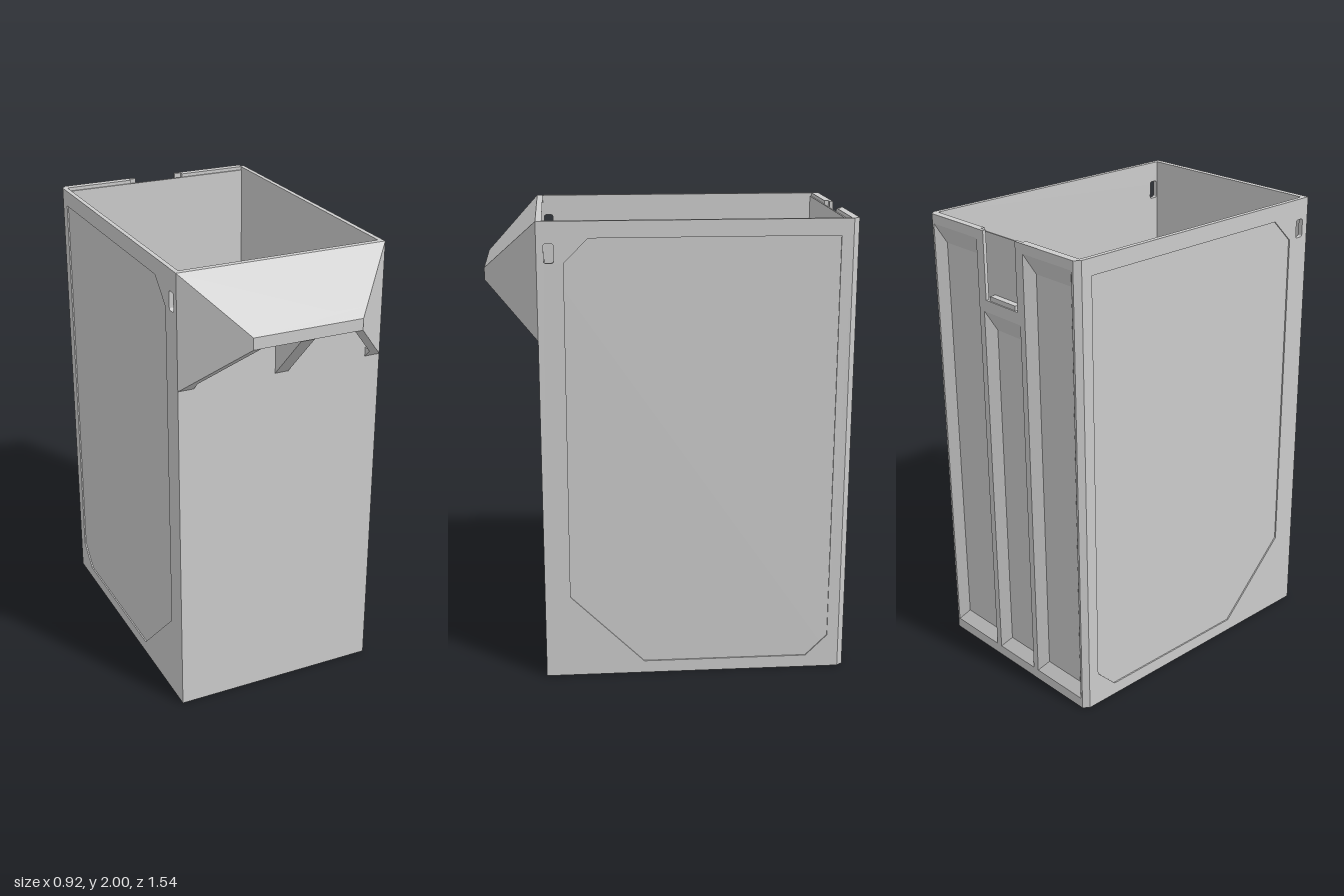
import * as THREE from 'three';

const material = new THREE.MeshStandardMaterial({ color: 0xcccccc, flatShading: true, side: THREE.DoubleSide });

function shapeOf(points) {
  return new THREE.Shape(points.map(([a, b]) => new THREE.Vector2(a, b)));
}

function extrude(shape, depth) {
  return new THREE.ExtrudeGeometry(shape, { depth, bevelEnabled: false, curveSegments: 6 });
}

// Flat-sided skin through closed rings of equal point count, with optional fan caps
function loft(rings, capped = false) {
  const pos = [];
  const n = rings[0].length;
  const tri = (a, b, c) => pos.push(...a, ...b, ...c);
  for (let r = 0; r + 1 < rings.length; r++) {
    for (let i = 0; i < n; i++) {
      const j = (i + 1) % n;
      const [a, b, c, d] = [rings[r][i], rings[r][j], rings[r + 1][j], rings[r + 1][i]];
      tri(a, b, c);
      tri(a, c, d);
    }
  }
  if (capped) {
    const last = rings[rings.length - 1];
    for (let i = 1; i + 1 < n; i++) {
      tri(rings[0][0], rings[0][i + 1], rings[0][i]);
      tri(last[0], last[i], last[i + 1]);
    }
  }
  const g = new THREE.BufferGeometry();
  g.setAttribute('position', new THREE.Float32BufferAttribute(pos, 3));
  g.computeVertexNormals();
  return g;
}

// Counter-clockwise rectangle at depth z
const rect = (x0, x1, y0, y1, z) => [[x0, y0, z], [x1, y0, z], [x1, y1, z], [x0, y1, z]];

export function createModel() {
  const group = new THREE.Group();
  const add = (name, geometry) => {
    const mesh = new THREE.Mesh(geometry, material);
    mesh.name = name;
    group.add(mesh);
    return mesh;
  };
  const box = (name, x0, x1, y0, y1, z0, z1) => add(name,
    new THREE.BoxGeometry(x1 - x0, y1 - y0, z1 - z0)
      .translate((x0 + x1) / 2, (y0 + y1) / 2, (z0 + z1) / 2));

  // Open-topped bin: floor, front wall and thin back plate
  box('floor', -0.44, 0.44, 0, 0.03, -0.737, 0.55);
  box('frontWall', -0.44, 0.44, 0.03, 2, 0.525, 0.55);
  box('backPlate', -0.44, 0.44, 0.03, 1.985, -0.737, -0.73);

  // Side walls: a core sheet plus a frame around the sunken panel, both with the slot
  const outline = [[-0.745, 0], [0.55, 0], [0.55, 2], [-0.745, 2]];
  const panel = [[0.44, 1.83], [0.34, 1.93], [-0.695, 1.93], [-0.695, 0.15],
    [-0.6, 0.055], [0.12, 0.055], [0.44, 0.37]];
  const slot = new THREE.Path();
  slot.moveTo(0.49, 1.83).lineTo(0.51, 1.83).quadraticCurveTo(0.52, 1.83, 0.52, 1.84)
    .lineTo(0.52, 1.90).quadraticCurveTo(0.52, 1.91, 0.51, 1.91)
    .lineTo(0.49, 1.91).quadraticCurveTo(0.48, 1.91, 0.48, 1.90)
    .lineTo(0.48, 1.84).quadraticCurveTo(0.48, 1.83, 0.49, 1.83);
  const core = shapeOf(outline);
  core.holes.push(slot);
  const frame = shapeOf(outline);
  frame.holes.push(slot, shapeOf(panel));
  const coreGeo = extrude(core, 0.014).rotateY(-Math.PI / 2);
  const frameGeo = extrude(frame, 0.006).rotateY(-Math.PI / 2);
  add('leftWall', coreGeo).position.x = 0.454;
  add('leftFrame', frameGeo).position.x = 0.46;
  add('rightWall', coreGeo).position.x = -0.44;
  add('rightFrame', frameGeo).position.x = -0.454;

  // Chamfered rear corner posts
  for (const s of [-1, 1]) {
    const post = (y) => [[s * 0.46, y, -0.745], [s * 0.44, y, -0.77], [s * 0.44, y, -0.73], [s * 0.46, y, -0.73]];
    add('rearCorner', loft([post(0), post(2)], true));
  }

  // Back frame with a notch at the top and three sunken channels with sloped walls
  const zOut = -0.77, zIn = -0.737;
  const back = shapeOf([[-0.44, 0], [0.44, 0], [0.44, 2], [0.13, 2], [0.13, 1.71],
    [-0.13, 1.71], [-0.13, 2], [-0.44, 2]]);
  const channels = [[-0.43, -0.145, 0.045, 1.96], [-0.115, 0.115, 0.045, 1.66], [0.145, 0.43, 0.045, 1.96]];
  for (const [x0, x1, y0, y1] of channels) {
    back.holes.push(shapeOf([[x0, y0], [x1, y0], [x1, y1], [x0, y1]]));
    add('backChannel', loft([
      rect(x0, x1, y0, y1, zOut),
      rect(x0 + 0.04, x1 - 0.04, y0 + 0.05, y1 - 0.08, zIn),
    ]));
  }
  add('backFrame', extrude(back, zIn - zOut).translate(0, 0, zOut));

  // Latch pocket: side rails and a small sill
  for (const s of [-1, 1]) box('latchRail', s * 0.115 - 0.015, s * 0.115 + 0.015, 1.71, 2, zOut, -0.755);
  box('latchSill', -0.08, 0.08, 1.71, 1.73, -0.765, zIn);

  // Front grip: tapered hood, open below
  const hood = (z) => {
    const d = z - 0.55, x = 0.46 - d, top = 2 - d, low = 1.51 + d, t = 0.035;
    return [[-x, low, z], [-x, top, z], [x, top, z], [x, low, z],
      [x - t, low, z], [x - t, top - t, z], [t - x, top - t, z], [t - x, low, z]];
  };
  add('gripHood', loft([hood(0.55), hood(0.77)]));
  add('gripLip', loft([
    rect(-0.275, 0.275, 1.73, 1.815, 0.735),
    rect(-0.24, 0.24, 1.73, 1.78, 0.77),
  ], true));

  // Feet where the hood sides meet the wall
  for (const s of [-1, 1]) {
    add('gripFoot', loft([
      rect(s * 0.39, s * 0.46, 1.51, 1.55, 0.55),
      rect(s * 0.39, s * 0.42, 1.55, 1.552, 0.59),
    ], true));
  }

  // Central gusset under the hood
  const gusset = shapeOf([[0.55, 1.51], [0.765, 1.73], [0.74, 1.8], [0.55, 1.98]]);
  add('gripRib', extrude(gusset, 0.06).rotateY(-Math.PI / 2)).position.x = 0.03;

  return group;
}
